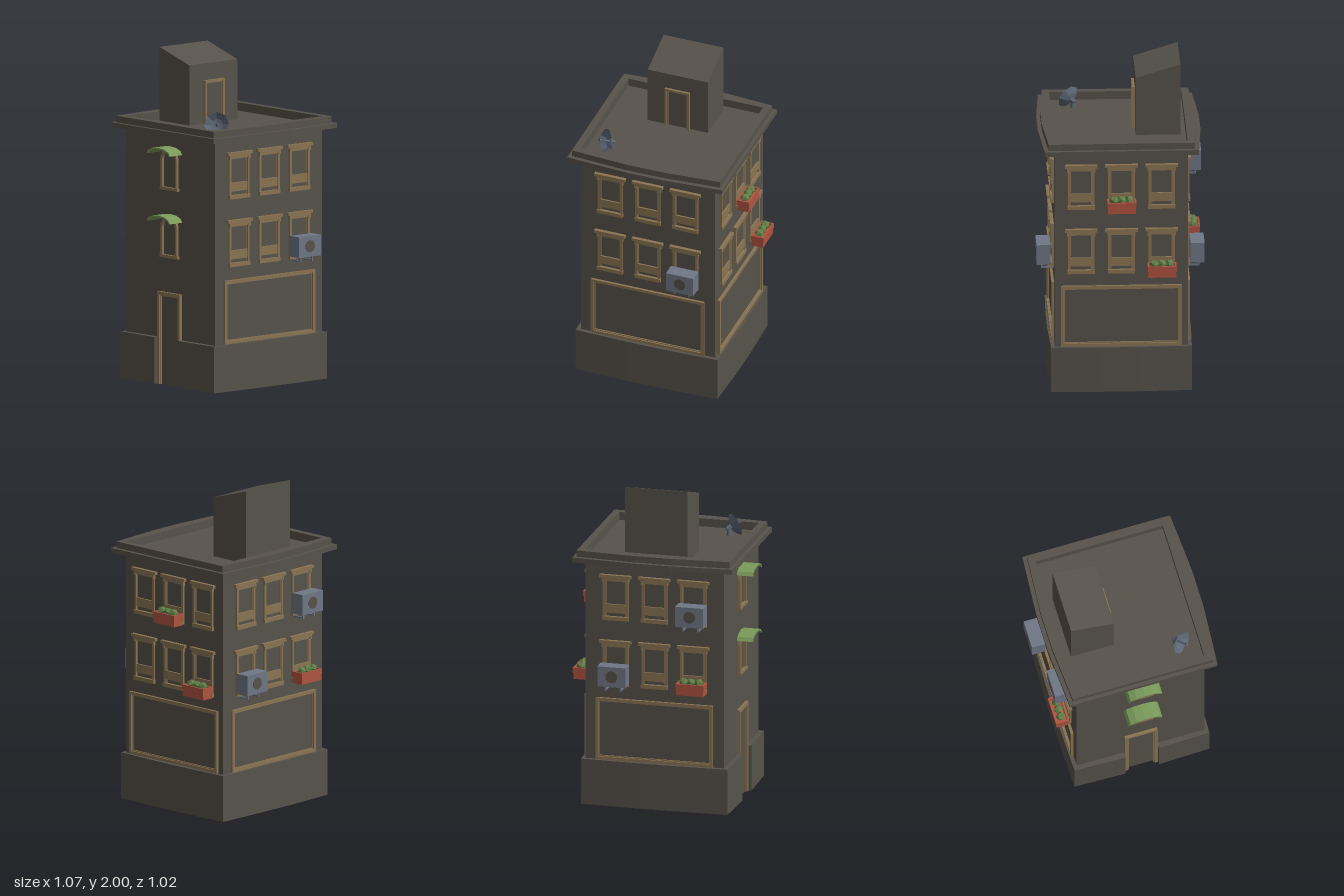
import * as THREE from 'three';

const mat = (name, color) => Object.assign(new THREE.MeshStandardMaterial({ color }), { name });
const HW = 0.433, HD = 0.403;            // half width and half depth of the walls
const COL = 0.243;                        // window column spacing
const FLOORS = [0.755, 1.168];            // bottom of each window row

export function createModel() {
  const wall = mat('wall', 0x57524b);
  const trim = mat('trim', 0x8a7553);
  const terracotta = mat('terracotta', 0xb0533f);
  const awningGreen = mat('awningGreen', 0x7a9a5a);
  const leaf = mat('leaf', 0x628049);
  const metal = mat('metal', 0x6f7786);
  const dishMetal = mat('dishMetal', 0x5c6675);
  dishMetal.side = THREE.DoubleSide;
  dishMetal.flatShading = leaf.flatShading = true;

  const root = new THREE.Group();
  root.name = 'building';
  const model = new THREE.Group();
  model.name = 'block';
  model.position.x = -0.006;
  root.add(model);

  const add = (parent, name, geo, m, x = 0, y = 0, z = 0) => {
    const mesh = new THREE.Mesh(geo, m);
    mesh.name = name;
    mesh.position.set(x, y, z);
    parent.add(mesh);
    return mesh;
  };
  const box = (parent, name, m, w, h, d, x, y, z) =>
    add(parent, name, new THREE.BoxGeometry(w, h, d), m, x, y, z);
  const group = (parent, name, x = 0, y = 0, z = 0) => {
    const g = new THREE.Group();
    g.name = name;
    g.position.set(x, y, z);
    parent.add(g);
    return g;
  };
  const poly = pts => new THREE.Shape(pts.map(p => new THREE.Vector2(p[0], p[1])));
  const extrude = (shape, depth, curveSegments = 8) =>
    new THREE.ExtrudeGeometry(shape, { depth, bevelEnabled: false, curveSegments });
  // plan outline raised to a height
  const slab = (shape, h) => extrude(shape, h).rotateX(-Math.PI / 2);
  const rect = (w, h, y0 = 0) => [[-w / 2, y0], [w / 2, y0], [w / 2, y0 + h], [-w / 2, y0 + h]];
  const frame = (w, h, t, d, open = false) => {
    const s = poly(rect(w, h));
    if (open) return extrude(poly([[-w / 2, 0], [-w / 2 + t, 0], [-w / 2 + t, h - t], [w / 2 - t, h - t],
      [w / 2 - t, 0], [w / 2, 0], [w / 2, h], [-w / 2, h]]), d);
    s.holes.push(new THREE.Path(rect(w - 2 * t, h - 2 * t, t).map(p => new THREE.Vector2(...p))));
    return extrude(s, d);
  };

  // walls and roof floor
  box(model, 'walls', wall, HW * 2, 1.55, HD * 2, 0, 0.775, 0);

  // base, slightly bowed, with a gap for the side door
  const n = 0.105;
  add(model, 'base', slab(poly([
    [-0.46, -0.425], [-0.12, -0.434], [0.12, -0.434], [0.455, -0.425], [0.464, -0.12], [0.464, 0.12],
    [0.455, 0.425], [0.12, 0.434], [-0.12, 0.434], [-0.46, 0.425],
    [-0.468, n], [-HW + 0.01, n], [-HW + 0.01, -n], [-0.468, -n],
  ]), 0.285), wall);

  // stepped cornice with bowed front and back, forming the parapet
  const cornice = (name, w, d, y, h) => {
    const s = poly([[-w, -d], [-0.12, -d - 0.026], [0.12, -d - 0.026], [w, -d],
      [w, d], [0.12, d + 0.026], [-0.12, d + 0.026], [-w, d]]);
    s.holes.push(new THREE.Path(rect(0.87, 0.8, -0.4).map(p => new THREE.Vector2(...p))));
    add(model, name, slab(s, h), wall, 0, y, 0);
  };
  cornice('lowerCornice', 0.5, 0.465, 1.53, 0.03);
  cornice('parapet', 0.478, 0.441, 1.56, 0.04);

  // stair house with a sloping roof and a door frame
  const house = group(model, 'stairHouse');
  const side = poly([[0.097, 1.54], [0.367, 1.54], [0.367, 2], [0.097, 1.917]]);
  add(house, 'stairHouseWalls', extrude(side, 0.388).rotateY(Math.PI / 2), wall, -0.194);
  add(house, 'roofDoorFrame', frame(0.158, 0.27, 0.014, 0.016, true), trim, 0, 1.545, -0.097);
  add(house, 'roofDoorInnerFrame', frame(0.13, 0.256, 0.006, 0.008, true), trim, 0, 1.545, -0.097);

  // details, built in the plane of a wall with +z pointing outwards
  const addWindow = (f, x, y) => {
    const g = group(f, 'window', x, y, 0);
    add(g, 'windowFrame', frame(0.162, 0.262, 0.016, 0.012), trim);
    add(g, 'innerFrame', frame(0.132, 0.235, 0.006, 0.006), trim, 0, 0.014);
    box(g, 'sash', trim, 0.15, 0.054, 0.01, 0, 0.073, 0.005);
    box(g, 'sill', trim, 0.166, 0.024, 0.018, 0, 0.012, 0.009);
    box(g, 'header', trim, 0.17, 0.014, 0.017, 0, 0.263, 0.0085);
    box(g, 'headerCap', trim, 0.198, 0.018, 0.022, 0, 0.277, 0.011);
    for (const s of [-1, 1]) box(g, 'headerBracket', trim, 0.014, 0.02, 0.017, s * 0.078, 0.25, 0.0085);
  };
  const addAirConditioner = (f, x, y) => {
    const g = group(f, 'airConditioner', x, y, 0);
    box(g, 'unitCase', metal, 0.176, 0.126, 0.085, 0, 0.082, 0.0625);
    add(g, 'fanGrille', new THREE.CylinderGeometry(0.038, 0.038, 0.006, 10).rotateX(Math.PI / 2),
      wall, 0, 0.083, 0.104);
    for (const s of [-1, 1]) {
      box(g, 'bracketArm', metal, 0.01, 0.01, 0.075, s * 0.047, -0.01, 0.0375);
      box(g, 'bracketPost', metal, 0.01, 0.036, 0.01, s * 0.047, 0.004, 0.07);
    }
  };
  const addPlanter = (f, x, y) => {
    const g = group(f, 'planter', x, y, 0.058);
    // body tapers towards the bottom
    const body = new THREE.BoxGeometry(0.166, 0.04, 0.074);
    const p = body.attributes.position;
    for (let i = 0; i < p.count; i++) if (p.getY(i) < 0) p.setX(i, p.getX(i) * 1.04);
    add(g, 'planterBody', body, terracotta, 0, 0.018, 0);
    add(g, 'planterRim', slab((() => {
      const s = poly(rect(0.175, 0.082, -0.041));
      s.holes.push(new THREE.Path(rect(0.155, 0.062, -0.031).map(q => new THREE.Vector2(...q))));
      return s;
    })(), 0.033), terracotta, 0, 0.036, 0);
    for (let i = -1; i <= 1; i++) {
      const plant = add(g, 'plant', new THREE.IcosahedronGeometry(0.029, 0), leaf, i * 0.047, 0.072, 0);
      plant.rotation.y = i * 0.9;
    }
  };

  const makeWall = (name, x, z, angle) => {
    const g = group(model, name, x, 0, z);
    g.rotation.y = angle;
    return g;
  };
  const front = makeWall('frontDetails', 0, HD, 0);
  const left = makeWall('leftDetails', HW, 0, Math.PI / 2);
  const back = makeWall('backDetails', 0, -HD, Math.PI);
  const right = makeWall('rightDetails', -HW, 0, -Math.PI / 2);

  // three walls share the same windows and large framed panel
  for (const f of [front, left, back]) {
    for (const y of FLOORS) for (const i of [-1, 0, 1]) addWindow(f, i * COL, y);
    add(f, 'panelFrame', frame(0.73, 0.387, 0.018, 0.016), trim, 0, 0.288, 0);
    add(f, 'panelInnerFrame', frame(0.696, 0.353, 0.007, 0.008), trim, 0, 0.305, 0);
  }
  addAirConditioner(front, COL, FLOORS[0]);
  addAirConditioner(back, -COL, FLOORS[0]);
  addAirConditioner(back, COL, FLOORS[1]);
  addPlanter(left, COL, FLOORS[0]);
  addPlanter(left, 0, FLOORS[1]);
  addPlanter(back, COL, FLOORS[0]);

  // side wall: door, arched windows and curved awnings
  add(right, 'sideDoorFrame', frame(0.205, 0.565, 0.02, 0.018, true), trim);
  add(right, 'sideDoorInnerFrame', frame(0.165, 0.545, 0.007, 0.008, true), trim);
  const arch = (w, h) => {
    const s = new THREE.Shape();
    s.moveTo(-w, 0).lineTo(w, 0).lineTo(w, h - w).absarc(0, h - w, w, 0, Math.PI, false);
    return s;
  };
  const canopy = [];
  for (let i = 0; i <= 6; i++) {
    const a = (i / 6) * Math.PI;
    canopy.push([0.107 * Math.cos(a), 0.043 * Math.sin(a)]);
  }
  for (let i = 6; i >= 0; i--) {
    const a = (i / 6) * Math.PI;
    canopy.push([0.095 * Math.cos(a), 0.032 * Math.sin(a)]);
  }
  for (const y of FLOORS) {
    const g = group(right, 'archedWindow', 0, y + 0.022, 0);
    const s = arch(0.075, 0.255);
    s.holes.push(new THREE.Path(arch(0.058, 0.222).getPoints(8).map(p => p.add(new THREE.Vector2(0, 0.017)))));
    add(g, 'archedFrame', extrude(s, 0.016), trim);
    box(g, 'archedSill', trim, 0.16, 0.018, 0.019, 0, 0.009, 0.0095);
    add(g, 'awning', extrude(poly(canopy), 0.1), awningGreen, 0, 0.226, 0);
  }

  // rooftop dish: faceted bowl, feed rod and mount along +y, then tilted
  const dish = group(model, 'satelliteDish', -0.315, 1.612, 0.287);
  const bowl = [[0.001, -0.03], [0.04, -0.02], [0.076, 0.006]].map(p => new THREE.Vector2(...p));
  add(dish, 'bowl', new THREE.LatheGeometry(bowl, 8), dishMetal);
  add(dish, 'feedRod', new THREE.CylinderGeometry(0.005, 0.008, 0.07, 6), dishMetal, 0, 0.005, 0);
  add(dish, 'feedTip', new THREE.CylinderGeometry(0.012, 0.006, 0.014, 6), dishMetal, 0, 0.042, 0);
  add(dish, 'mount', new THREE.CylinderGeometry(0.018, 0.012, 0.035, 6), dishMetal, 0, -0.04, 0);
  dish.quaternion.setFromUnitVectors(new THREE.Vector3(0, 1, 0),
    new THREE.Vector3(-0.72, 0.36, 0.62).normalize());
  add(model, 'dishPost', new THREE.CylinderGeometry(0.01, 0.016, 0.06, 6), dishMetal, -0.286, 1.573, 0.262);

  return root;
}
